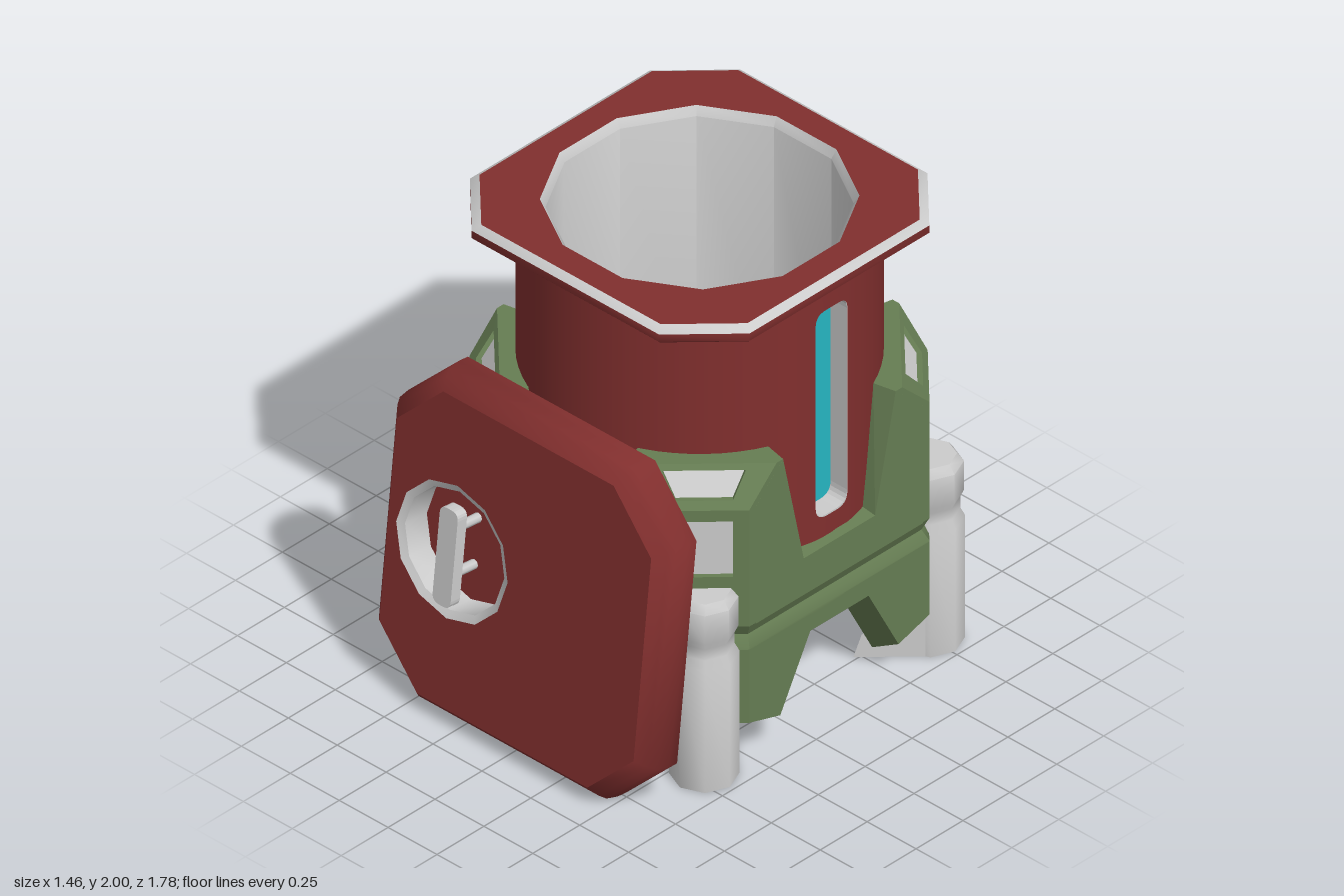
import * as THREE from 'three';
import { toCreasedNormals } from 'three/addons/utils/BufferGeometryUtils.js';
import { ConvexGeometry } from 'three/addons/geometries/ConvexGeometry.js';

const paint = (color, side = THREE.DoubleSide) => new THREE.MeshStandardMaterial({ color, side });
const grey = paint(0xcccccc), red = paint(0x812f2e), green = paint(0x667d53), teal = paint(0x26b7c3);
const legGrey = paint(0xcccccc, THREE.FrontSide);

function add(parent, name, geometry, material, x = 0, y = 0, z = 0) {
  const mesh = new THREE.Mesh(geometry, material);
  mesh.name = name;
  mesh.position.set(x, y, z);
  parent.add(mesh);
  return mesh;
}

function group(parent, name) {
  const g = new THREE.Group();
  g.name = name;
  parent.add(g);
  return g;
}

const hull = (pts) => new ConvexGeometry(pts.map((p) => new THREE.Vector3(...p)));
const points2 = (pts) => pts.map((p) => new THREE.Vector2(...p));

// Square of half width h with cut corners, counter-clockwise
function octagon(h) {
  const k = h * 0.67;
  return points2([[h, -k], [h, k], [k, h], [-k, h], [-h, k], [-h, -k], [-k, -h], [k, -h]]);
}

// Skin through octagons given as [half width, z]
function loft(rings, crease) {
  const pos = [];
  const loops = rings.map(([h, z]) => octagon(h).map((p) => [p.x, p.y, z]));
  for (let i = 0; i < loops.length - 1; i++) {
    for (let j = 0; j < 8; j++) {
      const n = (j + 1) % 8;
      const a = loops[i][j], b = loops[i][n], c = loops[i + 1][n], d = loops[i + 1][j];
      pos.push(...a, ...b, ...d, ...b, ...c, ...d);
    }
  }
  const g = new THREE.BufferGeometry();
  g.setAttribute('position', new THREE.Float32BufferAttribute(pos, 3));
  return toCreasedNormals(g, crease);
}

const lathe = (pts, sides, start, crease) =>
  toCreasedNormals(new THREE.LatheGeometry(points2(pts), sides, start), crease);

// Octagonal plate face with a round hole
function holedOctagon(h, r, sides, cx = 0, cy = 0, turn = 0) {
  const shape = new THREE.Shape(octagon(h));
  const ring = [];
  for (let i = 0; i < sides; i++) {
    const a = turn - (i / sides) * Math.PI * 2;
    ring.push(new THREE.Vector2(cx + r * Math.cos(a), cy + r * Math.sin(a)));
  }
  shape.holes.push(new THREE.Path(ring));
  return new THREE.ShapeGeometry(shape);
}

// Upright rounded rectangle
function rounded(w, h, r, target = new THREE.Shape()) {
  const x = w / 2, y = h / 2;
  target.moveTo(-x + r, -y).lineTo(x - r, -y).quadraticCurveTo(x, -y, x, -y + r)
    .lineTo(x, y - r).quadraticCurveTo(x, y, x - r, y)
    .lineTo(-x + r, y).quadraticCurveTo(-x, y, -x, y - r)
    .lineTo(-x, -y + r).quadraticCurveTo(-x, -y, -x + r, -y);
  return target;
}

const extrude = (shape, depth) =>
  new THREE.ExtrudeGeometry(shape, { depth, bevelEnabled: false, curveSegments: 5 });

function buildTank(parent) {
  const tank = group(parent, 'tank');
  const R = 0.68, bottom = 0.6, top = 1.94, mid = 1.375, H = top - bottom;
  const gap = Math.asin(0.1 / R);

  for (const side of [-1, 1]) {
    // Curved wall between the two windows
    const wall = new THREE.CylinderGeometry(R, R, H, 32, 1, true,
      side * Math.PI / 2 + gap, Math.PI - 2 * gap);
    add(tank, 'tankWall', wall, red, 0, bottom + H / 2, 0);

    // Window strip bent onto the wall, its recess and its glass
    const w = group(tank, 'window');
    w.rotation.y = side * Math.PI / 2;
    const strip = new THREE.Shape(points2([[-0.1, bottom - mid], [0.1, bottom - mid],
      [0.1, top - mid], [-0.1, top - mid]]));
    strip.holes.push(rounded(0.17, 0.93, 0.055, new THREE.Path()));
    const bent = new THREE.ShapeGeometry(strip, 5);
    const p = bent.attributes.position, n = bent.attributes.normal;
    for (let i = 0; i < p.count; i++) {
      const x = p.getX(i), z = Math.sqrt(R * R - x * x);
      p.setZ(i, z);
      n.setXYZ(i, x / R, 0, z / R);
    }
    add(w, 'windowSurround', bent, red, 0, mid, 0);
    const frame = rounded(0.196, 0.96, 0.06);
    frame.holes.push(rounded(0.17, 0.93, 0.055, new THREE.Path()));
    add(w, 'windowRecess', extrude(frame, 0.09), grey, 0, mid, 0.582);
    add(w, 'windowGlass', extrude(rounded(0.19, 0.95, 0.06), 0.01), teal, 0, mid, 0.578);
  }

  // Octagonal top flange with trimmed edge
  const flange = group(tank, 'flange');
  flange.rotation.x = -Math.PI / 2;
  add(flange, 'flangeBody', loft([[0.7, 1.93], [0.715, 1.945], [0.715, 1.978]], 0.9), red);
  add(flange, 'flangeTrim', loft([[0.715, 1.978], [0.685, 2]], 0.9), grey);
  add(flange, 'flangeTop', holedOctagon(0.685, 0.59, 12, 0, 0, Math.PI / 12), red, 0, 0, 2);
  add(flange, 'flangeUnderside', holedOctagon(0.7, 0.66, 32), red, 0, 0, 1.93);

  // Hollow inside
  const inside = [[0.59, 2], [0.568, 1.965], [0.568, 0.67], [0, 0.67]];
  add(tank, 'tankInside', lathe(inside, 12, Math.PI / 12, 0.6), grey);
  add(tank, 'tankBase', new THREE.CylinderGeometry(0.59, 0.59, 0.08, 12), grey, 0, 0.51, 0);
}

// Four tapered bars around a sunken panel; corners are [across, y, outward]
function buildRecess(parent, outer, inner) {
  const t = 0.025;
  for (let i = 0; i < 4; i++) {
    add(parent, 'panelFrame', hull([i, (i + 1) % 4].flatMap((k) => {
      const [u, y, r] = outer[k], [v, w, s] = inner[k];
      return [outer[k], [u + Math.sign(u) * t, y, r - t], inner[k], [v, w, s - t]];
    })), green);
  }
  const panel = [0.004, -0.015].flatMap((d) => inner.map(([u, y, r]) => [u, y, r - t + d]));
  add(parent, 'sunkenPanel', hull(panel), grey);
}

function buildCradle(parent) {
  const cradle = group(parent, 'cradle');
  const h = 0.715, inner = 0.58;
  const both = (pts) => pts.flatMap(([x, y, z]) => [[x, y, z], [z, y, x]]);
  const belt = add(cradle, 'belt',
    loft([[0.01, 0.54], [h, 0.54], [h, 0.555], [0.69, 0.6], [h, 0.655], [0.01, 0.655]], 0.6), green);
  belt.rotation.x = -Math.PI / 2;

  const upper = hull(both([
    [h, 0.65, 0.19], [h, 0.815, 0.19], [h, 1.32, 0.3], [h, 1.18, 0.445], [h, 0.65, 0.445],
    [0.62, 0.65, 0.185], [0.62, 0.815, 0.185], [0.62, 1.32, 0.28]]));
  const sill = hull([-0.2, 0.2].flatMap((z) =>
    [[h, 0.65, z], [h, 0.815, z], [0.62, 0.65, z], [0.62, 0.83, z]]));

  // Skirt shell: arch top, one leg of the arch on each side, and the corner
  const arch = hull([-0.16, 0.16].flatMap((z) =>
    [[h, 0.55, z], [h, 0.47, z], [inner, 0.55, z], [inner, 0.39, z]]));
  const skirtEnd = [[h, 0.55, 0.48], [h, 0.22, 0.48], [inner, 0.55, 0.39], [inner, 0.14, 0.39]];
  const skirtSide = [...skirtEnd, [h, 0.55, 0.155], [h, 0.47, 0.155], [h, 0.17, 0.315],
    [inner, 0.55, 0.155], [inner, 0.39, 0.155], [inner, 0.09, 0.315]];

  // Open-bottomed leg with two thin fins reaching inwards
  const legShape = lathe([[0.13, 0], [0.13, 0.55], [0.112, 0.585],
    [0.112, 0.635], [0.126, 0.665], [0.126, 0.795], [0.1, 0.83], [0, 0.83]], 8, 0, 0.9);
  const finPoints = [[0.565, 0], [0.595, 0.1], [0.76, 0.24], [0.85, 0.24], [0.85, 0]];
  // Symmetric quad from [half width, y, outward] at its bottom and top
  const quad = ([a, y, r], [b, w, s]) => [[-a, y, r], [a, y, r], [b, w, s], [-b, w, s]];

  for (let i = 0; i < 4; i++) {
    const quarter = group(cradle, 'cradleQuarter');
    quarter.rotation.y = i * Math.PI / 2;
    add(quarter, 'cornerBlock', upper, green);
    add(quarter, 'sidePanel', sill, green);
    add(quarter, 'skirtArch', arch, green);
    add(quarter, 'skirtCorner', hull(both(skirtEnd)), green);
    for (const s of [-1, 1]) {
      add(quarter, 'skirtSide', hull(skirtSide.map(([x, y, z]) => [x, y, s * z])), green);
    }

    // Diagonal fittings: z points out of the corner
    const corner = group(quarter, 'cornerFittings');
    corner.rotation.y = Math.PI / 4;
    buildRecess(corner, quad([0.166, 0.655, 0.845], [0.166, 1.18, 0.845]),
      quad([0.106, 0.88, 0.845], [0.106, 1.13, 0.845]));
    buildRecess(corner, quad([0.166, 1.18, 0.845], [0.269, 1.32, 0.742]),
      quad([0.106, 1.21, 0.823], [0.155, 1.3, 0.757]));
    add(corner, 'leg', legShape, legGrey, 0, 0, 0.85);
    for (const s of [-1, 1]) {
      const fin = new THREE.Shape(points2(finPoints.map(([r, y]) => [-s * r, y])));
      add(corner, 'legFin', new THREE.ShapeGeometry(fin), legGrey, s * 0.122).rotation.y = s * Math.PI / 2;
    }
  }
}

function buildLid(parent) {
  const lid = group(parent, 'lid');
  lid.position.set(0, 0.718, 0.728);
  lid.rotation.x = -0.108;
  const front = 0.095, hx = -0.325, hy = 0.01;

  add(lid, 'lidBack', loft([[0.001, -0.103], [0.685, -0.103]], 0.6), red);
  add(lid, 'lidTrim', loft([[0.685, -0.103], [0.715, -0.075]], 0.9), grey);
  add(lid, 'lidRim', loft([[0.715, -0.075], [0.715, -0.03], [0.706, 0.025], [0.688, 0.055], [0.65, front]], 0.9), red);
  add(lid, 'lidFront', holedOctagon(0.65, 0.285, 12, hx, hy), red, 0, 0, front);

  // Round recess with a grab bar on two pegs
  const depth = 0.13;
  const cup = lathe([[0.252, -depth], [0.254, -0.015], [0.285, 0]], 12, 0, 0.6);
  add(lid, 'handleRecess', cup, grey, hx, hy, front).rotation.x = Math.PI / 2;
  add(lid, 'recessFloor', new THREE.CircleGeometry(0.255, 12), red, hx, hy, front - depth);
  add(lid, 'handleBar', extrude(rounded(0.092, 0.415, 0.035), 0.05), grey, hx, hy - 0.01, 0.08);
  for (const s of [-1, 1]) {
    const peg = new THREE.CylinderGeometry(0.02, 0.02, depth, 8);
    add(lid, 'handlePeg', peg, grey, hx, hy + s * 0.1, 0.03).rotation.x = Math.PI / 2;
  }
}

export function createModel() {
  const model = new THREE.Group();
  model.name = 'canister';
  const body = group(model, 'body');
  body.position.z = -0.16;
  buildTank(body);
  buildCradle(body);
  buildLid(model);
  return model;
}
